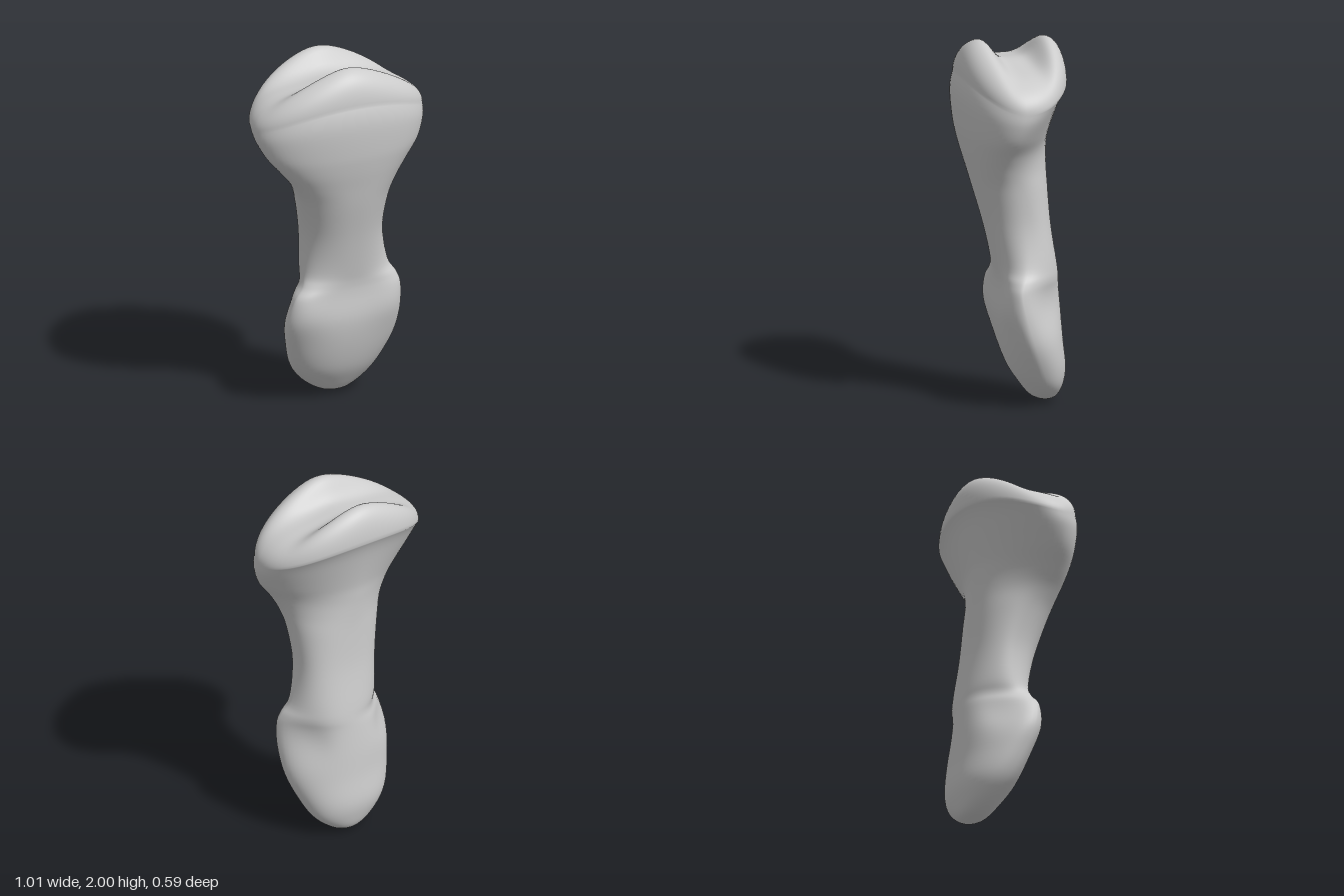
import * as THREE from 'three';
import { mergeVertices } from 'three/addons/utils/BufferGeometryUtils.js';

// Cross-sections from the tip up to the rim of the upper joint:
// y, left x, right x, front z, back z, z of the widest point, front and back roundness
const SECTIONS = [
  [0.00, 0.08, 0.08, -0.18, -0.18, -0.18, 2.0, 2.0],
  [0.03, -0.02, 0.17, -0.10, -0.24, -0.17, 2.0, 2.0],
  [0.10, -0.12, 0.26, -0.04, -0.27, -0.15, 2.0, 2.1],
  [0.20, -0.20, 0.32, 0.02, -0.285, -0.11, 2.1, 2.1],
  [0.35, -0.255, 0.375, 0.07, -0.27, -0.05, 2.2, 2.0],
  [0.50, -0.285, 0.39, 0.097, -0.26, 0.00, 2.3, 2.0],
  [0.64, -0.255, 0.383, 0.09, -0.247, 0.03, 2.3, 2.0],
  [0.71, -0.198, 0.363, 0.092, -0.24, 0.015, 2.2, 2.1],
  [0.79, -0.178, 0.322, 0.107, -0.23, -0.02, 2.1, 2.3],
  [1.00, -0.18, 0.285, 0.155, -0.20, -0.03, 2.2, 2.4],
  [1.20, -0.225, 0.295, 0.21, -0.19, 0.02, 2.2, 2.2],
  [1.32, -0.28, 0.325, 0.24, -0.19, 0.07, 2.2, 1.9],
  [1.42, -0.36, 0.38, 0.265, -0.195, 0.09, 2.1, 1.7],
  [1.52, -0.445, 0.455, 0.285, -0.207, 0.08, 2.0, 1.7],
  [1.62, -0.495, 0.495, 0.299, -0.25, 0.055, 2.0, 1.9],
  [1.69, -0.505, 0.50, 0.28, -0.293, 0.04, 2.0, 2.1],
];
const SIDES = 72, STEPS = 5, CAP_RINGS = 28;

const catmull = (a, b, c, d, t) => 0.5 * (2 * b + (c - a) * t
  + (2 * a - 5 * b + 4 * c - d) * t * t + (3 * b - a - 3 * c + d) * t * t * t);

// Smoothly interpolated section at a fractional row
function sectionAt(u) {
  const last = SECTIONS.length - 1;
  const i = Math.min(Math.floor(u), last - 1);
  const row = (k) => SECTIONS[THREE.MathUtils.clamp(k, 0, last)];
  return SECTIONS[0].map((_, c) =>
    catmull(row(i - 1)[c], row(i)[c], row(i + 1)[c], row(i + 2)[c], u - i));
}

// Point on a section, scaled by s about its middle
function ringPoint([y, xl, xr, zf, zb, zm, nf, nb], angle, s = 1) {
  const c = Math.cos(angle), n = Math.sin(angle);
  const p = 2 / (n > 0 ? nf : nb);
  // paired knobs of the lower joint: swollen in front, pinched behind
  const knob = Math.exp(-(((y - 0.58) / 0.14) ** 2)) * Math.sin(2 * angle) ** 2;
  const pinch = n < 0 ? 1 - 0.17 * knob : 1;
  const swell = n > 0 ? 0.02 * knob : 0;
  const x = (xl + xr) / 2 + s * pinch * (xr - xl) / 2 * Math.sign(c) * Math.abs(c) ** p;
  const z = zm + s * ((n > 0 ? zf : zb) - zm) * Math.abs(n) ** p + swell;
  // the rim rises toward the front and back lips
  const lift = 0.12 * n * n * THREE.MathUtils.smoothstep(y, 1.5, 1.69);
  return [x, y + lift, z];
}

// Saddle of the joint: two lips with a broad hollow between them
function saddle(x, z) {
  const lips = 2.012 - 0.42 * (Math.sqrt(x * x + 0.01) - 0.1);
  const hollow = 0.12 * Math.exp(-(((z + 0.02) / 0.135) ** 4) - (x / 0.38) ** 2);
  return lips - hollow;
}

function boneGeometry() {
  const positions = [], index = [];
  const rows = (SECTIONS.length - 1) * STEPS;
  const addRing = (point) => {
    for (let j = 0; j < SIDES; j++) positions.push(...point(j / SIDES * Math.PI * 2));
  };
  // lower joint, shaft and flared head
  for (let r = 0; r <= rows; r++) {
    const section = sectionAt(r / STEPS);
    addRing((a) => ringPoint(section, a));
  }
  // hollowed upper joint surface, rounder at the front lip than at the back
  const rim = SECTIONS[SECTIONS.length - 1];
  for (let k = 1; k <= CAP_RINGS; k++) {
    const s = k === CAP_RINGS ? 0 : Math.cos(k / CAP_RINGS * Math.PI / 2);
    addRing((a) => {
      const [x, , z] = ringPoint(rim, a, s);
      const base = ringPoint(rim, a)[1];
      const rise = Math.sqrt(1 - s ** (6 - 2 * Math.sin(a)));
      return [x, base + (saddle(x, z) - base) * rise, z];
    });
  }
  for (let r = 0; r < rows + CAP_RINGS; r++) {
    for (let j = 0; j < SIDES; j++) {
      const a = r * SIDES + j, b = r * SIDES + (j + 1) % SIDES;
      index.push(a, a + SIDES, b, b, a + SIDES, b + SIDES);
    }
  }
  const geometry = new THREE.BufferGeometry();
  geometry.setAttribute('position', new THREE.Float32BufferAttribute(positions, 3));
  geometry.setIndex(index);
  const merged = mergeVertices(geometry, 1e-5);
  merged.computeVertexNormals();
  return merged;
}

export function createModel() {
  const group = new THREE.Group();
  group.name = 'fingerBone';
  const bone = new THREE.Mesh(boneGeometry(), new THREE.MeshStandardMaterial({ color: 0xcccccc }));
  bone.name = 'bone';
  group.add(bone);
  return group;
}
